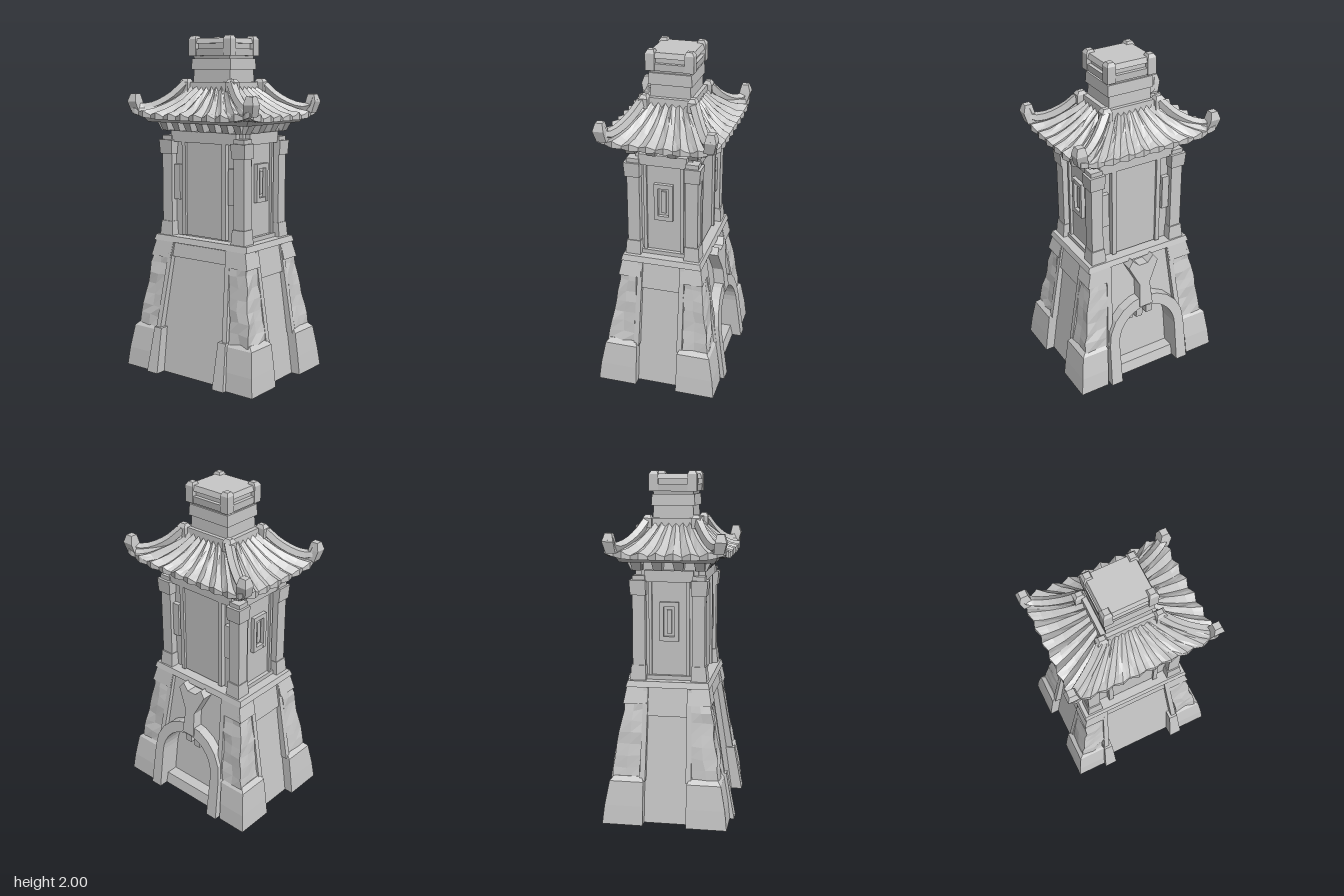
import * as THREE from 'three';

const stone = new THREE.MeshStandardMaterial({ color: 0xc8c8c8, flatShading: true, side: THREE.DoubleSide });
stone.name = 'pale grey stone';

// position-based noise, so shared corners move together
const noise = (x, y, z) => {
  const s = Math.sin(x * 127.1 + y * 311.7 + z * 74.7) * 43758.5453;
  return (s - Math.floor(s)) * 2 - 1;
};

export function createModel() {
  const model = new THREE.Group();
  const add = (name, geo) => {
    const g = geo.index ? geo.toNonIndexed() : geo;
    g.computeVertexNormals();
    const m = new THREE.Mesh(g, stone);
    m.name = name;
    model.add(m);
    return m;
  };

  // tapered block; b and t are [x0, x1, z0, z1] at the bottom and top
  const block = (name, y0, y1, b, t = b, { open = false, rough = 0, seg = [1, 1, 1] } = {}) => {
    const geo = new THREE.BoxGeometry(1, 1, 1, ...seg);
    const p = geo.attributes.position;
    for (let i = 0; i < p.count; i++) {
      const k = p.getY(i) + 0.5;
      const e = b.map((v, j) => v + (t[j] - v) * k);
      const x = e[0] + (e[1] - e[0]) * (p.getX(i) + 0.5);
      const z = e[2] + (e[3] - e[2]) * (p.getZ(i) + 0.5);
      const y = y0 + (y1 - y0) * k;
      p.setXYZ(i, x + rough * noise(x, y, z), y + rough * noise(y, z, x), z + rough * noise(z, x, y));
    }
    if (open) { // hollow underside
      const g = geo.groups[3], idx = Array.from(geo.index.array);
      idx.splice(g.start, g.count);
      geo.setIndex(idx);
    }
    return add(name, geo);
  };
  const box = (x, z) => [-x, x, -z, z];
  const mir = ([a, b, c, d], sx, sz) => [
    Math.min(a * sx, b * sx), Math.max(a * sx, b * sx), Math.min(c * sz, d * sz), Math.max(c * sz, d * sz)];
  const corners = (fn) => { for (const sx of [-1, 1]) for (const sz of [-1, 1]) fn(sx, sz); };
  const cornerBlock = (name, y0, y1, b, t = b, o) =>
    corners((sx, sz) => block(name, y0, y1, mir(b, sx, sz), mir(t, sx, sz), o));

  // --- battered base ---
  block('baseCore', 0, 0.8, [-0.32, 0.25, -0.42, 0.42], [-0.205, 0.14, -0.31, 0.31], { open: true });
  cornerBlock('cornerFoot', 0, 0.11, [0.125, 0.36, 0.29, 0.475], [0.125, 0.348, 0.285, 0.462], { open: true });
  cornerBlock('cornerFoot', 0.11, 0.25, [0.125, 0.348, 0.285, 0.462], [0.125, 0.322, 0.27, 0.442], { open: true });
  cornerBlock('cornerFootCap', 0.25, 0.275, [0.125, 0.322, 0.27, 0.442], [0.14, 0.3, 0.28, 0.415]);
  cornerBlock('pier', 0.26, 0.72, [0.15, 0.31, 0.275, 0.418], [0.14, 0.245, 0.22, 0.345],
    { rough: 0.008, seg: [2, 7, 2] });
  cornerBlock('pierEdge', 0.25, 0.78, [0.118, 0.15, 0.27, 0.425], [0.112, 0.14, 0.22, 0.338]);
  cornerBlock('pierEdge', 0.25, 0.78, [0.2, 0.325, 0.235, 0.268], [0.15, 0.238, 0.195, 0.225]);
  cornerBlock('pierHead', 0.69, 0.785, [0.12, 0.255, 0.21, 0.36], [0.12, 0.238, 0.2, 0.335]);
  for (const s of [-1, 1])
    block('wallBeam', 0.62, 0.78, mir([-0.115, 0.115, 0.2, 0.352], 1, s), mir([-0.115, 0.115, 0.2, 0.325], 1, s));
  block('sideBeam', 0.7, 0.78, [-0.24, -0.1, -0.21, 0.21], [-0.228, -0.1, -0.2, 0.2]);
  for (const s of [-1, 1])
    block('sidePost', 0, 0.27, mir([-0.385, -0.28, 0.21, 0.29], 1, s), mir([-0.335, -0.25, 0.215, 0.27], 1, s));
  block('ledge', 0.785, 0.82, box(0.242, 0.348), box(0.232, 0.338));

  // --- arched doorway, leaning with the side wall ---
  const lean = (name, shape, x, depth, slope = 0.14) => {
    const geo = new THREE.ExtrudeGeometry(shape, { depth, bevelEnabled: false, curveSegments: 9 });
    geo.rotateY(Math.PI / 2).translate(x, 0, 0);
    const p = geo.attributes.position;
    for (let i = 0; i < p.count; i++) p.setX(i, p.getX(i) - slope * p.getY(i));
    return add(name, geo);
  };
  const archShape = (r, outer) => {
    const s = new THREE.Shape();
    s.moveTo(-r, 0);
    s.lineTo(-r, 0.27);
    s.absarc(0, 0.27, r, Math.PI, 0, true);
    s.lineTo(r, 0);
    outer.forEach(([x, y]) => s.lineTo(x, y));
    s.closePath();
    return s;
  };
  lean('doorWall', archShape(0.2, [[0.3, 0], [0.22, 0.8], [-0.22, 0.8], [-0.3, 0]]), 0.24, 0.085);
  const ring = [[0.275, 0]];
  for (let i = 0; i <= 10; i++) {
    const a = Math.PI * i / 10;
    ring.push([0.265 * Math.cos(a), 0.28 + 0.26 * Math.sin(a)]);
  }
  ring.push([-0.275, 0]);
  lean('arch', archShape(0.2, ring), 0.295, 0.087);
  const key = [[-0.045, 0.48], [0.045, 0.48], [0.035, 0.63], [0.1, 0.76], [0.07, 0.8], [0.03, 0.76],
    [-0.03, 0.76], [-0.07, 0.8], [-0.1, 0.76], [-0.035, 0.63]].map(([x, y]) => new THREE.Vector2(x, y));
  lean('keystoneBracket', new THREE.Shape(key), 0.3, 0.09);
  block('threshold', 0, 0.07, [0.2, 0.325, -0.2, 0.2], [0.2, 0.31, -0.2, 0.2], { open: true });
  for (const z of [-0.07, 0, 0.07])
    block('doorBar', z ? 0.35 : 0.34, 0.46, [0.2, 0.245, z - 0.022, z + 0.022]);

  // --- upper storey ---
  block('upperWall', 0.8, 1.5, box(0.165, 0.262));
  cornerBlock('pillar', 0.82, 1.42, [0.135, 0.208, 0.23, 0.303]);
  cornerBlock('pillarFoot', 0.82, 0.905, [0.13, 0.222, 0.22, 0.315], [0.132, 0.215, 0.225, 0.308]);
  cornerBlock('pillarHead', 1.31, 1.395, [0.13, 0.218, 0.222, 0.312], [0.13, 0.224, 0.218, 0.316]);
  for (const s of [-1, 1]) {
    // end walls with a framed window
    for (const k of [-1, 1]) {
      block('endTrim', 0.83, 1.39, mir([0.1, 0.118, 0.24, 0.278], k, s));
      block('windowFrame', 1.045, 1.27, mir([0.032, 0.055, 0.25, 0.285], k, s));
    }
    for (const y of [1.045, 1.243])
      block('windowFrame', y, y + 0.027, mir([-0.054, 0.054, 0.25, 0.284], 1, s));
    block('windowPane', 1.09, 1.225, mir([-0.014, 0.014, 0.25, 0.275], 1, s));
    block('endSill', 0.82, 0.845, mir([-0.13, 0.13, 0.24, 0.285], 1, s));
    block('endLintel', 1.385, 1.45, mir([-0.14, 0.14, 0.24, 0.295], 1, s));
    // long walls with a raised panel and slit windows
    block('sidePanel', 0.83, 1.39, mir([0.15, 0.182, -0.135, 0.135], s, 1));
    block('sideLintel', 1.385, 1.45, mir([0.15, 0.2, -0.24, 0.24], s, 1));
    for (const k of [-1, 1]) {
      block('panelTrim', 0.83, 1.4, mir([0.15, 0.196, 0.135, 0.162], s, k));
      block('slitWindow', 1.04, 1.25, mir([0.15, 0.192, 0.18, 0.225], s, k));
    }
    // eave brackets
    for (let i = 0; i < 4; i++) {
      const x = -0.18 + i * 0.12;
      block('eaveBracket', 1.45, 1.51, mir([x - 0.025, x + 0.025, 0.25, 0.31], 1, s),
        mir([x - 0.032, x + 0.032, 0.25, 0.345], 1, s));
    }
    for (let i = 0; i < 7; i++) {
      const z = -0.27 + i * 0.09;
      block('eaveBracket', 1.45, 1.51, mir([0.15, 0.215, z - 0.02, z + 0.02], s, 1),
        mir([0.15, 0.245, z - 0.027, z + 0.027], s, 1));
    }
  }
  block('eavePlate', 1.5, 1.53, box(0.265, 0.362), box(0.285, 0.385));

  // --- rippled, concave hip roof; the last rows turn under the eaves ---
  const rows = [0, 0.2, 0.4, 0.6, 0.8, 1, 1, 0.55];
  const roofSide = (dir, alongX, ridges) => {
    const cols = ridges * 4, pos = [], idx = [];
    rows.forEach((t, r) => {
      const hx = 0.135 + 0.2 * t, hz = 0.155 + 0.275 * t;
      for (let c = 0; c <= cols; c++) {
        const s = (c / cols) * 2 - 1;
        const inner = c > 0 && c < cols ? 1 : 0;
        const wave = inner * (0.011 * Math.cos(c * Math.PI / 2) + 0.004 * noise(c, t, dir));
        const rim = r === 5 || r === 6 ? inner * 0.008 * Math.cos(c * Math.PI / 2) : 0;
        let y = 1.55 + 0.155 * Math.pow(1 - t, 1.5) + 0.035 * Math.pow(Math.abs(s), 5) * t;
        y = r === 7 ? 1.515 : y + (r === 6 ? -0.03 : wave);
        const a = s * (alongX ? hx : hz), d = dir * ((alongX ? hz : hx) + rim);
        pos.push(alongX ? a : d, y, alongX ? d : a);
        if (r && c) {
          const n = cols + 1, q = r * n + c, o = q - n;
          const f = alongX === (dir > 0);
          idx.push(...(f ? [o - 1, q - 1, q, o - 1, q, o] : [o - 1, q, q - 1, o - 1, o, q]));
        }
      }
    });
    const geo = new THREE.BufferGeometry();
    geo.setAttribute('position', new THREE.Float32BufferAttribute(pos, 3));
    geo.setIndex(idx);
    add('roofTiles', geo);
  };
  for (const d of [-1, 1]) { roofSide(d, true, 7); roofSide(d, false, 9); }

  // upswept hip ridges with blunt tips and top knobs
  const path = [[0.145, 1.725, 0.17], [0.195, 1.645, 0.245], [0.255, 1.59, 0.345], [0.295, 1.59, 0.41], [0.31, 1.64, 0.428]];
  corners((sx, sz) => {
    const curve = new THREE.CatmullRomCurve3(path.map(([x, y, z]) => new THREE.Vector3(x * sx, y, z * sz)));
    add('hipRidge', new THREE.TubeGeometry(curve, 8, 0.03, 5));
  });
  cornerBlock('ridgeTip', 1.555, 1.62, [0.27, 0.325, 0.38, 0.44], [0.278, 0.342, 0.392, 0.458]);
  cornerBlock('ridgeTip', 1.62, 1.665, [0.278, 0.342, 0.392, 0.458], [0.288, 0.328, 0.402, 0.444]);
  cornerBlock('ridgeKnob', 1.68, 1.735, [0.115, 0.165, 0.14, 0.2]);
  cornerBlock('ridgeKnob', 1.735, 1.755, [0.115, 0.165, 0.14, 0.2], [0.125, 0.152, 0.15, 0.185]);

  // --- crowning stack ---
  block('stackFoot', 1.6, 1.735, box(0.15, 0.172), box(0.14, 0.162));
  block('stackShaft', 1.73, 1.81, box(0.118, 0.135), box(0.114, 0.132));
  block('stackCollar', 1.805, 1.87, box(0.126, 0.144), box(0.122, 0.14));
  block('stackNeck', 1.86, 1.9, box(0.112, 0.128), box(0.12, 0.136));
  block('capCore', 1.89, 1.975, box(0.112, 0.128));
  block('capBand', 1.885, 1.925, box(0.13, 0.148), box(0.134, 0.15));
  // top rim around the cap, leaving slots between it and the band
  block('capTop', 1.955, 1.985, box(0.132, 0.148), box(0.122, 0.138));
  cornerBlock('capPost', 1.885, 1.98, [0.085, 0.138, 0.1, 0.154]);
  cornerBlock('capPost', 1.98, 2, [0.085, 0.138, 0.1, 0.154], [0.092, 0.126, 0.108, 0.142]);

  return model;
}
